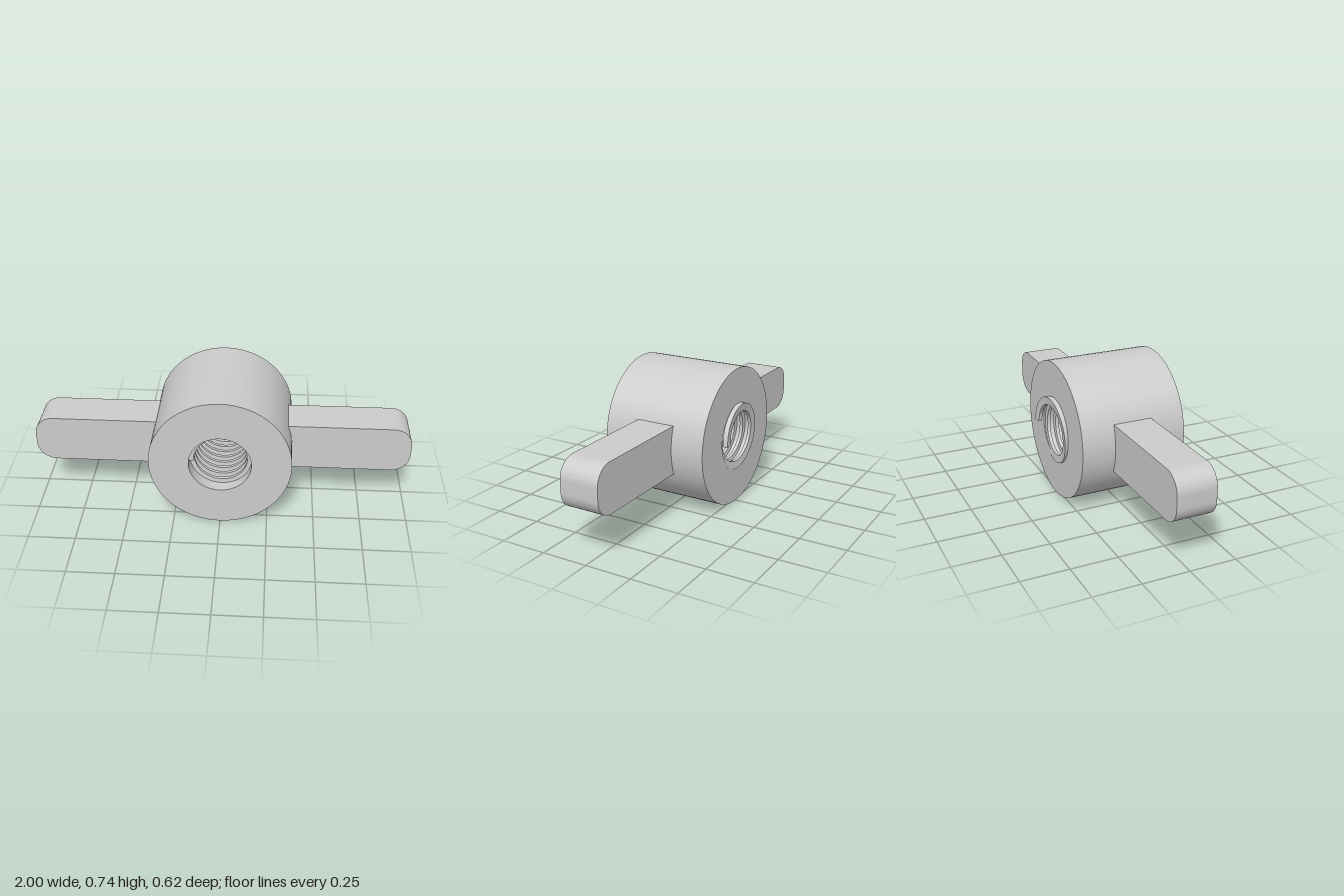
import * as THREE from 'three';
import { toCreasedNormals } from 'three/addons/utils/BufferGeometryUtils.js';

const CENTER_Y = 0.372;
const material = new THREE.MeshStandardMaterial({ color: 0xcccccc });

function addMesh(group, name, geometry) {
  const mesh = new THREE.Mesh(toCreasedNormals(geometry, 0.6), material);
  mesh.name = name;
  mesh.position.y = CENTER_Y;
  group.add(mesh);
  return mesh;
}

// Helical ridge: a tapered four-corner section swept from the back to the front
function threadGeometry({ inner, outer, zStart, pitch, turns, rootHalf, crestHalf }) {
  const section = [[outer, -rootHalf], [outer, rootHalf], [inner, crestHalf], [inner, -crestHalf]];
  const steps = Math.round(turns * 48);
  const positions = [], indices = [];
  for (let i = 0; i <= steps; i++) {
    const turn = (i / steps) * turns, angle = turn * Math.PI * 2;
    for (const [r, dz] of section) {
      positions.push(r * Math.cos(angle), r * Math.sin(angle), zStart + turn * pitch + dz);
    }
    if (i === steps) break;
    for (let k = 0; k < 4; k++) {
      const a = i * 4 + k, b = i * 4 + (k + 1) % 4;
      indices.push(a, a + 4, b, b, a + 4, b + 4);
    }
  }
  // End caps
  const e = steps * 4;
  indices.push(0, 1, 2, 0, 2, 3, e, e + 2, e + 1, e, e + 3, e + 2);
  const geometry = new THREE.BufferGeometry();
  geometry.setAttribute('position', new THREE.Float32BufferAttribute(positions, 3));
  geometry.setIndex(indices);
  return geometry;
}

// Flat bar with two rounded outer corners
function wingGeometry() {
  const root = 0.32, tip = 1, h = 0.13, r = 0.1;
  const shape = new THREE.Shape();
  shape.moveTo(root, -h);
  shape.lineTo(tip - r, -h);
  shape.absarc(tip - r, -h + r, r, -Math.PI / 2, 0);
  shape.absarc(tip - r, h - r, r, 0, Math.PI / 2);
  shape.lineTo(root, h);
  shape.closePath();
  const geometry = new THREE.ExtrudeGeometry(shape, { depth: 0.21, bevelEnabled: false, curveSegments: 10 });
  return geometry.translate(0, 0, -0.085);
}

export function createModel() {
  const group = new THREE.Group();
  group.name = 'wingNut';

  // Bored cylinder lying along z
  const back = -0.265, front = 0.31, outer = 0.372, bore = 0.163;
  const profile = [[outer, back], [outer, front], [bore, front], [bore, back], [outer, back]]
    .map(([r, z]) => new THREE.Vector2(r, z));
  addMesh(group, 'hub', new THREE.LatheGeometry(profile, 64).rotateX(Math.PI / 2));

  // Internal thread, running out slightly past the back face
  addMesh(group, 'thread', threadGeometry({
    inner: 0.14, outer: 0.182, zStart: -0.2935, pitch: 0.049, turns: 11.5,
    rootHalf: 0.0135, crestHalf: 0.009,
  }));

  // Two opposite wings
  addMesh(group, 'leftWing', wingGeometry());
  addMesh(group, 'rightWing', wingGeometry().rotateZ(Math.PI));

  return group;
}
